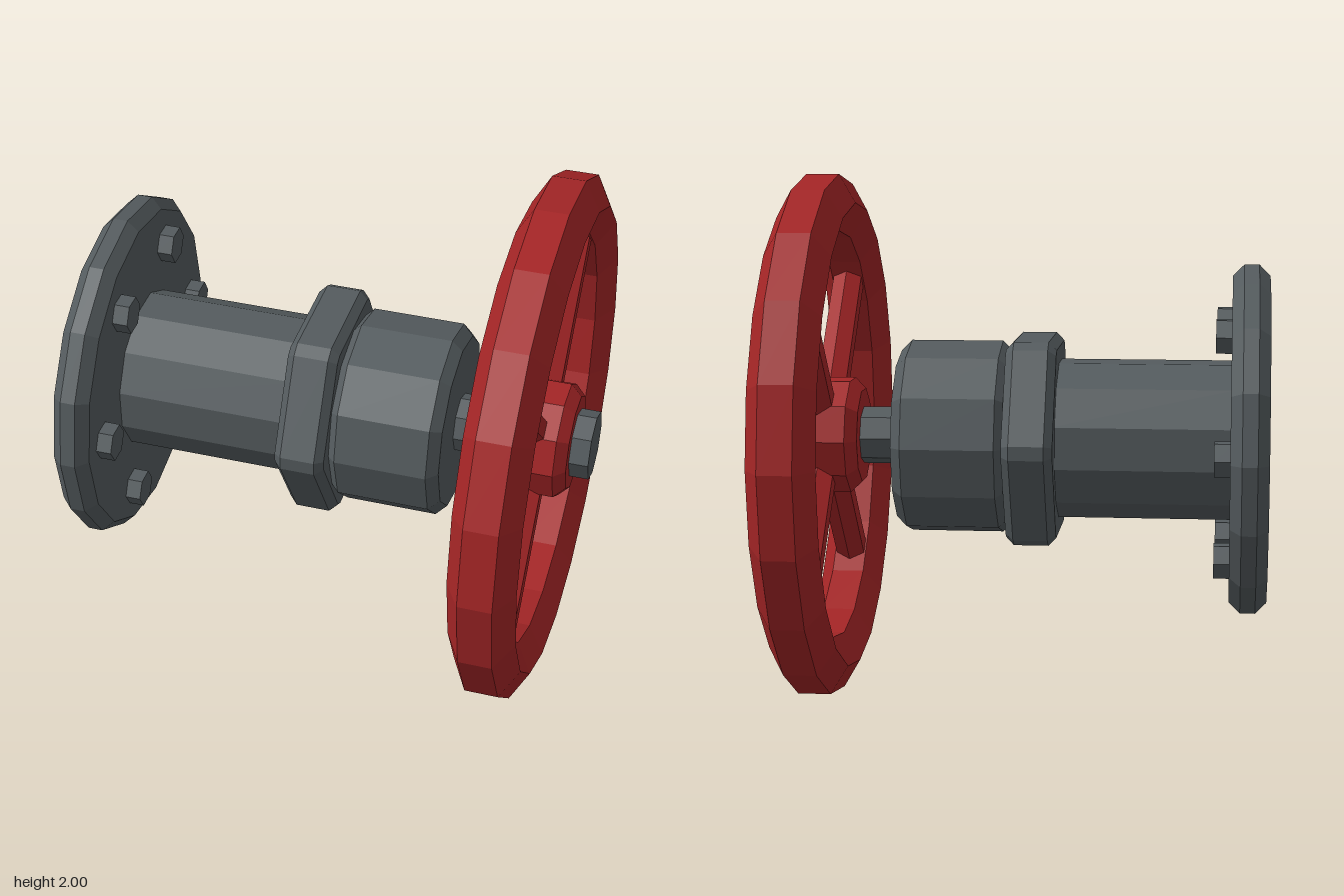
import * as THREE from 'three';

const steel = new THREE.MeshStandardMaterial({ color: 0x545b5e, flatShading: true });
steel.name = 'grey steel';
const red = new THREE.MeshStandardMaterial({ color: 0xa42526, flatShading: true });
red.name = 'red paint';

// Faceted solid turned about the x axis; profile is [radius, x] from low x to high x
function turned(name, profile, sides, material, phase = 0) {
  const points = profile.map(([r, x]) => new THREE.Vector2(r, x));
  const geometry = new THREE.LatheGeometry(points, sides, phase).toNonIndexed();
  geometry.rotateZ(-Math.PI / 2);
  geometry.computeVertexNormals();
  const mesh = new THREE.Mesh(geometry, material);
  mesh.name = name;
  return mesh;
}

// Capped drum with optional chamfers on both ends
function drum(name, x0, x1, r, sides, material, bevel = 0, phase = 0) {
  const profile = bevel
    ? [[0, x0], [r - bevel, x0], [r, x0 + bevel], [r, x1 - bevel], [r - bevel, x1], [0, x1]]
    : [[0, x0], [r, x0], [r, x1], [0, x1]];
  return turned(name, profile, sides, material, phase);
}

// Large hexagonal nut with all edges chamfered
function hexNut() {
  const shape = new THREE.Shape();
  for (let i = 0; i < 6; i++) {
    const a = (i * Math.PI) / 3;
    for (const s of [-0.026, 0.026]) {
      const x = 0.43 * Math.cos(a) - s * Math.sin(a);
      const y = 0.43 * Math.sin(a) + s * Math.cos(a);
      if (i === 0 && s < 0) shape.moveTo(x, y);
      else shape.lineTo(x, y);
    }
  }
  shape.closePath();
  const bevel = 0.03;
  const geometry = new THREE.ExtrudeGeometry(shape, {
    depth: 0.13, bevelEnabled: true, bevelSize: bevel, bevelThickness: bevel,
    bevelOffset: -bevel, bevelSegments: 1,
  });
  geometry.rotateY(Math.PI / 2);
  const mesh = new THREE.Mesh(geometry, steel);
  mesh.name = 'hexNut';
  mesh.position.x = -0.14;
  return mesh;
}

export function createModel() {
  const model = new THREE.Group();
  model.name = 'valve';

  // Everything is built around the x axis, then raised to wheel height
  const body = new THREE.Group();
  body.name = 'valveBody';
  body.add(
    drum('flange', -0.96, -0.82, 0.667, 16, steel, 0.042),
    drum('pipe', -0.83, -0.15, 0.305, 12, steel, 0, Math.PI / 12),
    hexNut(),
    drum('bonnet', 0.01, 0.44, 0.37, 12, steel, 0.04),
    drum('stem', 0.42, 0.62, 0.11, 8, steel),
    drum('stemEnd', 0.86, 0.96, 0.13, 8, steel),
  );

  // Ring of flange bolts
  for (let i = 0; i < 6; i++) {
    const a = (i * Math.PI) / 3;
    const bolt = drum('flangeBolt', -0.83, -0.762, 0.07, 6, steel);
    bolt.position.set(0, 0.485 * Math.sin(a), 0.485 * Math.cos(a));
    body.add(bolt);
  }

  // Handwheel: hexagonal rim section, hub and four diagonal spokes
  const wheel = new THREE.Group();
  wheel.name = 'handwheel';
  const wheelX = 0.74;
  const section = [];
  for (let i = 0; i <= 6; i++) {
    const a = ((30 + 60 * i) * Math.PI) / 180;
    section.push([0.892 + 0.125 * Math.cos(a), wheelX + 0.125 * Math.sin(a)]);
  }
  wheel.add(
    turned('rim', section, 20, red),
    drum('hub', 0.59, 0.887, 0.225, 10, red, 0.042),
  );
  for (let i = 0; i < 4; i++) {
    const spoke = new THREE.Mesh(new THREE.CylinderGeometry(0.065, 0.065, 0.72, 6), red);
    spoke.name = 'spoke';
    const a = Math.PI / 4 + (i * Math.PI) / 2;
    spoke.rotation.x = a;
    spoke.position.set(wheelX, 0.5 * Math.cos(a), 0.5 * Math.sin(a));
    wheel.add(spoke);
  }

  body.position.y = 1;
  wheel.position.y = 1;
  model.add(body, wheel);
  return model;
}
